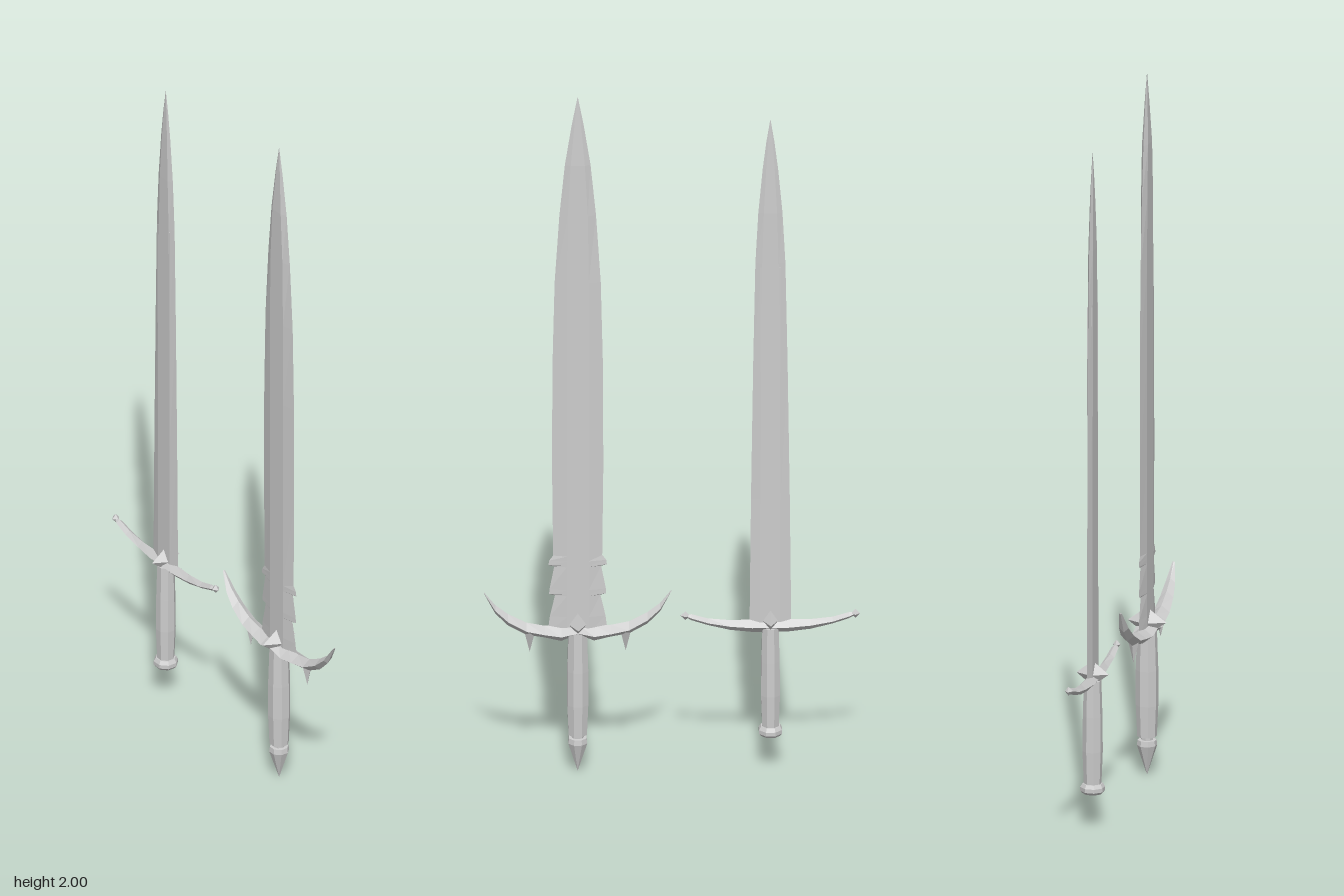
import * as THREE from 'three';

const steel = new THREE.MeshStandardMaterial({ color: 0xcccccc });
steel.name = 'steel';
steel.flatShading = true;

function add(group, name, geometry, x = 0, y = 0, z = 0) {
  const mesh = new THREE.Mesh(geometry, steel);
  mesh.name = name;
  mesh.position.set(x, y, z);
  group.add(mesh);
  return mesh;
}

// Skins a list of equal-sized rings of [x, y, z] points and caps both ends
function loft(rings) {
  const pos = [];
  const tri = (a, b, c) => pos.push(...a, ...b, ...c);
  const n = rings[0].length;
  for (let r = 0; r < rings.length - 1; r++) {
    const a = rings[r], b = rings[r + 1];
    for (let i = 0; i < n; i++) {
      const j = (i + 1) % n;
      tri(a[i], a[j], b[j]);
      tri(a[i], b[j], b[i]);
    }
  }
  const first = rings[0], last = rings[rings.length - 1];
  for (let i = 1; i < n - 1; i++) {
    tri(first[0], first[i + 1], first[i]);
    tri(last[0], last[i], last[i + 1]);
  }
  const g = new THREE.BufferGeometry();
  g.setAttribute('position', new THREE.Float32BufferAttribute(pos, 3));
  g.computeVertexNormals();
  return g;
}

// Bevelled blade: rows of [y, half width], with a flat centre strip
function blade(rows, flat, thick) {
  return loft(rows.map(([y, w]) => {
    const f = Math.min(flat, w * 0.55);
    const t = thick * Math.min(1, w / (flat * 1.2));
    return [[f, y, t], [w, y, 0], [f, y, -t], [-f, y, -t], [-w, y, 0], [-f, y, t]];
  }));
}

// Diamond-section crossguard: rows of [x, bottom y, top y, half depth], mirrored in x
function guard(rows) {
  const mirrored = rows.slice(1).reverse().map(([x, ...rest]) => [-x, ...rest]);
  return loft([...mirrored, ...rows].map(([x, lo, hi, d]) => {
    const mid = lo * 0.5 + hi * 0.5;
    return [[x, hi, 0], [x, mid, d], [x, lo, 0], [x, mid, -d]];
  }));
}

// Eight-sided turned part: points of [radius, y]
const turned = (points) =>
  new THREE.LatheGeometry(points.map(([r, y]) => new THREE.Vector2(r, y)), 8, Math.PI / 8);

// Stretched four-pointed stud
const stud = (x, y, z) => new THREE.OctahedronGeometry(1).scale(x, y, z);

function slimSword() {
  const s = new THREE.Group();
  s.name = 'slimSword';
  add(s, 'blade', blade([
    [0.42, 0.057], [0.8, 0.053], [1.2, 0.047], [1.5, 0.041],
    [1.65, 0.033], [1.78, 0.021], [1.86, 0.011], [1.925, 0.0005],
  ], 0.027, 0.007));
  // Fine ridges beside the flat of the blade
  for (const side of [-1, 1]) {
    add(s, 'bladeRidge', new THREE.BoxGeometry(0.003, 0.31, 0.015), side * 0.026, 1.335, 0);
    add(s, 'guardTip', stud(0.013, 0.013, 0.011), side * 0.232, 0.456, 0);
  }
  add(s, 'guard', guard([
    [0, 0.404, 0.444, 0.018], [0.05, 0.405, 0.442, 0.018], [0.11, 0.412, 0.441, 0.013],
    [0.17, 0.427, 0.447, 0.012], [0.215, 0.442, 0.46, 0.01], [0.23, 0.451, 0.459, 0.004],
  ]));
  add(s, 'guardStud', stud(0.024, 0.036, 0.046), 0, 0.44, 0);
  add(s, 'grip', turned([[0, 0.12], [0.024, 0.12], [0.028, 0.22], [0.027, 0.32], [0.024, 0.42], [0, 0.42]]));
  add(s, 'pommel', turned([[0, 0.1], [0.028, 0.1], [0.034, 0.107], [0.034, 0.118], [0.028, 0.128], [0, 0.128]]));
  return s;
}

function broadSword() {
  const s = new THREE.Group();
  s.name = 'broadSword';
  // Blade with two pairs of teeth near the guard
  add(s, 'blade', blade([
    [0.41, 0.082], [0.46, 0.076], [0.522, 0.062], [0.526, 0.078], [0.54, 0.077],
    [0.608, 0.064], [0.612, 0.08], [0.625, 0.078], [0.64, 0.067], [0.9, 0.07], [1.2, 0.069], [1.45, 0.063],
    [1.65, 0.05], [1.8, 0.035], [1.92, 0.016], [2, 0.0005],
  ], 0.03, 0.009));
  add(s, 'guard', guard([
    [0, 0.405, 0.435, 0.031], [0.045, 0.386, 0.432, 0.03], [0.09, 0.397, 0.432, 0.026],
    [0.14, 0.406, 0.442, 0.023], [0.19, 0.434, 0.468, 0.019],
    [0.225, 0.47, 0.495, 0.014], [0.256, 0.53, 0.534, 0.004],
  ]));
  // Claws under the guard
  for (const side of [-1, 1]) {
    const claw = new THREE.ConeGeometry(0.016, 0.065, 4).rotateX(Math.PI);
    add(s, 'guardClaw', claw, side * 0.131, 0.388, 0);
  }
  add(s, 'guardStud', stud(0.028, 0.04, 0.055), 0, 0.437, 0);
  add(s, 'grip', turned([[0, 0.11], [0.027, 0.11], [0.031, 0.2], [0.031, 0.3], [0.027, 0.42], [0, 0.42]]));
  // Pointed pommel hanging from a narrow neck
  add(s, 'pommelNeck', new THREE.CylinderGeometry(0.017, 0.017, 0.03, 8), 0, 0.105, 0);
  add(s, 'pommel', turned([[0, 0], [0.028, 0.085], [0.026, 0.1], [0, 0.102]]));
  return s;
}

export function createModel() {
  const model = new THREE.Group();
  model.name = 'swordPair';
  const slim = slimSword();
  slim.position.x = -0.27;
  const broad = broadSword();
  broad.position.x = 0.256;
  model.add(slim, broad);
  return model;
}
